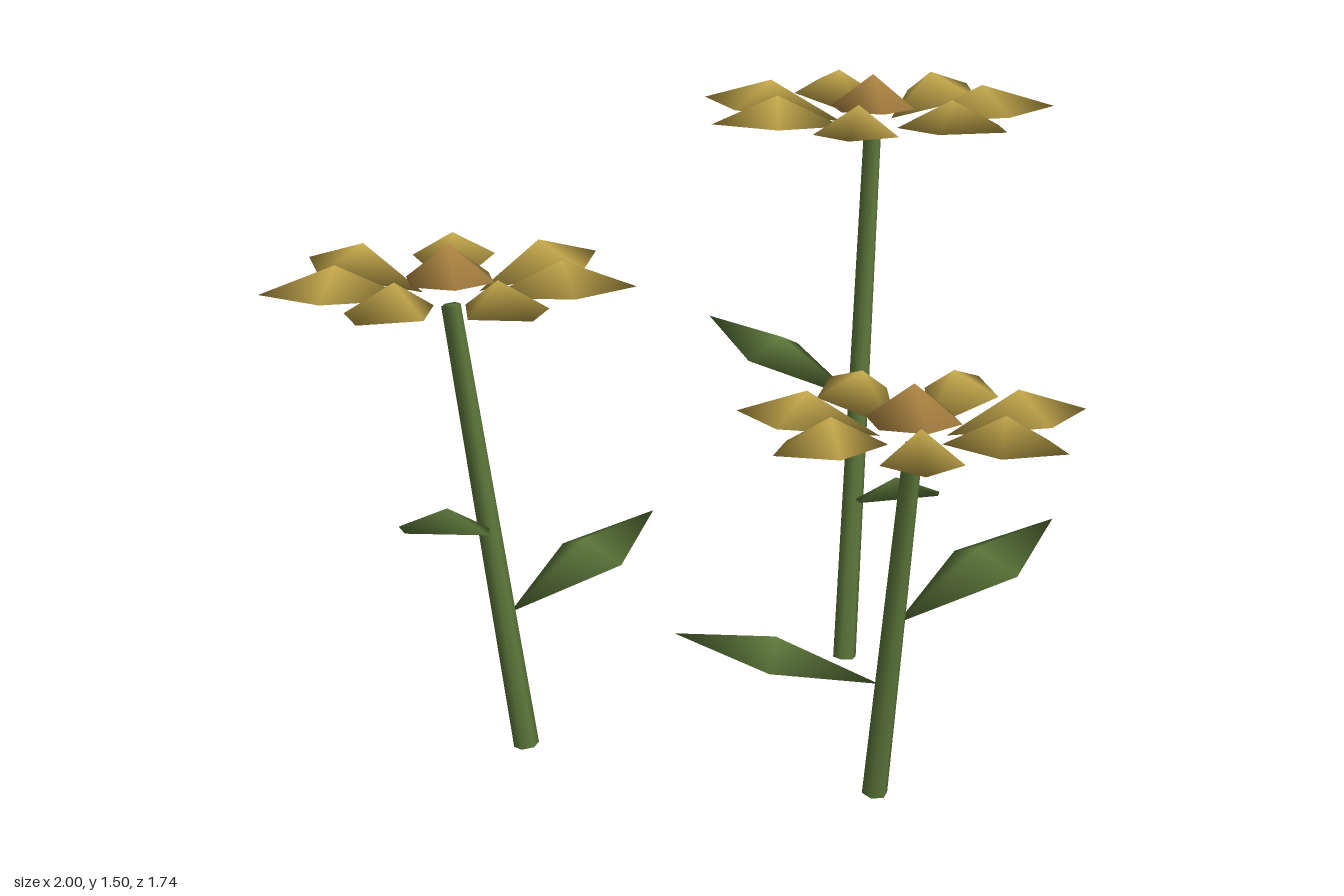
import * as THREE from 'three';
import { mergeVertices } from 'three/addons/utils/BufferGeometryUtils.js';

const material = (name, color) => {
  const m = new THREE.MeshStandardMaterial({ color });
  m.name = name;
  return m;
};

// Share corner vertices so the shading rolls softly over the edges
function soften(geometry) {
  geometry.deleteAttribute('normal');
  geometry.deleteAttribute('uv');
  const merged = mergeVertices(geometry);
  merged.computeVertexNormals();
  return merged;
}

// Kite-shaped blade along +z: flat underside, one raised point on top
function blade({ start, startY, wide, wideY, halfWidth, end, endY, peak, peakY }) {
  const g = new THREE.BufferGeometry();
  g.setAttribute('position', new THREE.Float32BufferAttribute([
    0, startY, start,
    halfWidth, wideY, wide,
    0, endY, end,
    -halfWidth, wideY, wide,
    0, peakY, peak,
  ], 3));
  g.setIndex([0, 3, 4, 3, 2, 4, 2, 1, 4, 1, 0, 4, 0, 1, 2, 0, 2, 3]);
  g.computeVertexNormals();
  return g;
}

export function createModel() {
  const root = new THREE.Group();
  root.name = 'flowers';
  const green = material('leaf green', 0x5f7a3c);
  const yellow = material('petal yellow', 0xccae4e);
  const brown = material('centre brown', 0xb48a45);

  const add = (parent, name, geometry, mat) => {
    const mesh = new THREE.Mesh(geometry, mat);
    mesh.name = name;
    parent.add(mesh);
    return mesh;
  };

  const petalGeometry = (radius) => {
    const s = radius / 0.45;
    return blade({
      start: 0.085 * s, startY: 0, wide: 0.325 * s, wideY: 0.028, halfWidth: 0.102 * s,
      end: radius, endY: 0.038, peak: 0.27 * s, peakY: 0.092,
    });
  };
  const centreGeometry = soften(new THREE.ConeGeometry(0.107, 0.082, 6).rotateY(Math.PI / 6));

  // base and top of stem, height of the head's apex, petal reach and turn, leaves as [start, tip]
  const flowers = [
    {
      name: 'leftFlower', base: [-0.50, 0, -0.39], top: [-0.62, 1.085, -0.458], apex: 1.225,
      radius: 0.425, turn: -0.21,
      leaves: [
        [[-0.56, 0.55, -0.425], [-0.955, 0.69, -0.19]],
        [[-0.52, 0.335, -0.41], [-0.07, 0.48, -0.42]],
      ],
    },
    {
      name: 'frontFlower', base: [-0.087, 0, 0.367], top: [-0.10, 0.86, 0.487], apex: 0.997,
      radius: 0.39, turn: 0.16,
      leaves: [
        [[-0.085, 0.43, 0.43], [0.37, 0.58, 0.48]],
        [[-0.10, 0.277, 0.39], [-0.46, 0.415, 0.11]],
      ],
    },
    {
      name: 'tallFlower', base: [0.44, 0, -0.27], top: [0.555, 1.36, -0.30], apex: 1.493,
      radius: 0.45, turn: -0.01,
      leaves: [
        [[0.475, 0.42, -0.27], [0.32, 0.57, 0.165]],
        [[0.50, 0.675, -0.29], [0.405, 0.825, -0.745]],
      ],
    },
  ];

  for (const f of flowers) {
    const flower = new THREE.Group();
    flower.name = f.name;
    root.add(flower);

    // Leaning, tapered stem
    const base = new THREE.Vector3(...f.base);
    const top = new THREE.Vector3(...f.top);
    const axis = top.clone().sub(base);
    const stemGeometry = soften(new THREE.CylinderGeometry(0.022, 0.03, axis.length(), 6));
    const stem = add(flower, 'stem', stemGeometry, green);
    stem.position.copy(base).lerp(top, 0.5);
    stem.quaternion.setFromUnitVectors(new THREE.Vector3(0, 1, 0), axis.normalize());

    // Level head: a six-sided centre and a ring of seven petals
    const head = new THREE.Group();
    head.name = 'head';
    head.position.set(f.top[0], f.apex - 0.122, f.top[2]);
    flower.add(head);
    add(head, 'centre', centreGeometry, brown).position.y = 0.081;
    const petal = petalGeometry(f.radius);
    for (let i = 0; i < 7; i++) {
      add(head, 'petal', petal, yellow).rotation.y = f.turn + (i * Math.PI * 2) / 7;
    }

    // Leaves rising from the stem towards their tips
    for (const [from, to] of f.leaves) {
      const start = new THREE.Vector3(...from);
      const tip = new THREE.Vector3(...to);
      const length = start.distanceTo(tip);
      const leaf = add(flower, 'leaf', blade({
        start: 0, startY: 0, wide: length * 0.56, wideY: 0, halfWidth: 0.108,
        end: length, endY: 0, peak: length * 0.54, peakY: 0.05,
      }), green);
      leaf.position.copy(start);
      leaf.lookAt(tip);
    }
  }
  return root;
}
